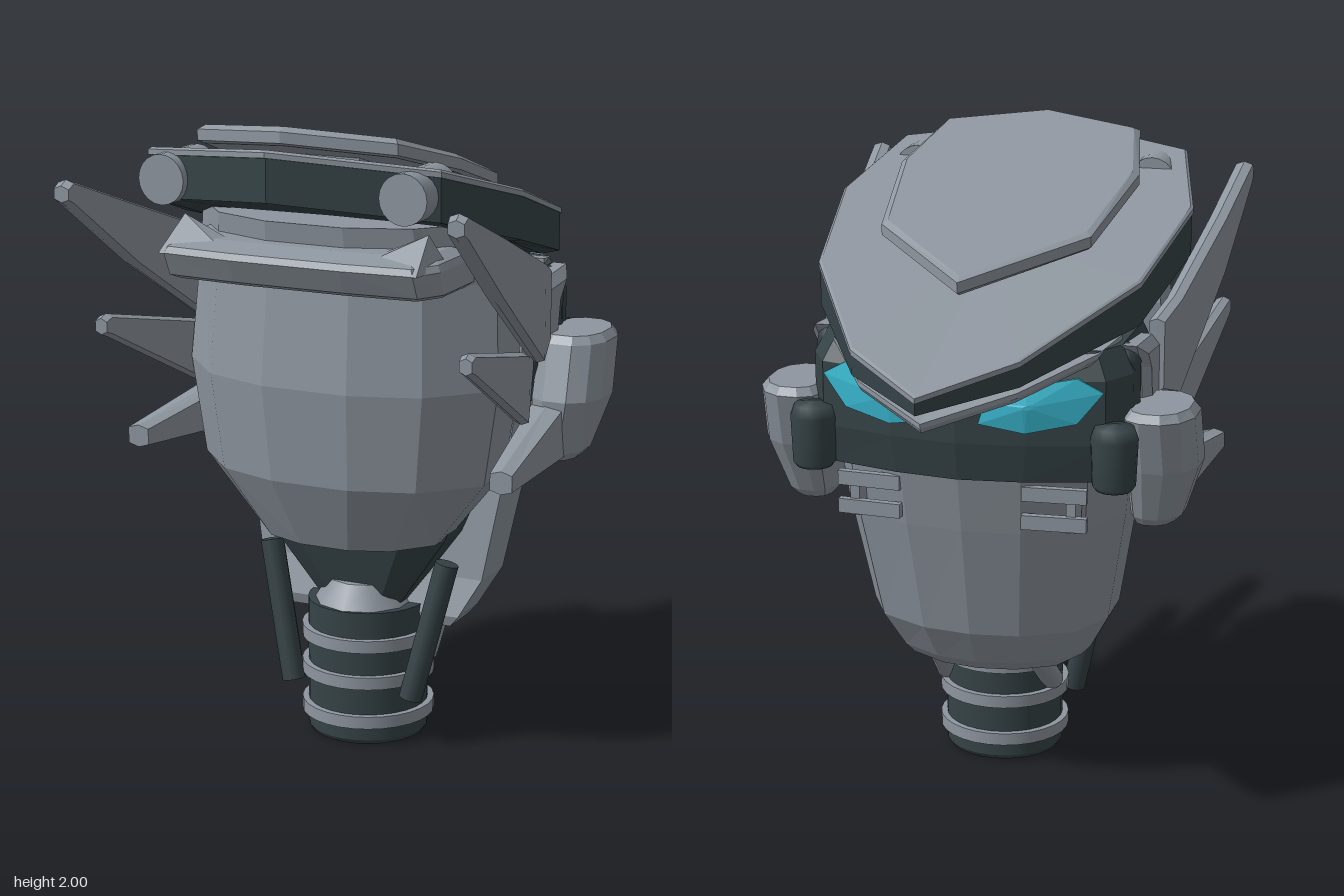
import * as THREE from 'three';

const mat = (name, color) => {
  const m = new THREE.MeshStandardMaterial({ color });
  m.name = name;
  return m;
};

// Closed, flat-faceted solid through a list of equal-length rings of [x, y, z]
function loft(rings) {
  const tris = [], n = rings[0].length;
  for (let r = 0; r + 1 < rings.length; r++)
    for (let i = 0; i < n; i++) {
      const j = (i + 1) % n, a = rings[r], b = rings[r + 1];
      tris.push([a[i], a[j], b[j]], [a[i], b[j], b[i]]);
    }
  const cap = (ring, flip) => {
    const c = [0, 1, 2].map(k => ring.reduce((s, p) => s + p[k], 0) / n);
    ring.forEach((p, i) => {
      const q = ring[(i + 1) % n];
      tris.push(flip ? [c, q, p] : [c, p, q]);
    });
  };
  cap(rings[0], true);
  cap(rings[rings.length - 1], false);
  // turn the solid right side out whichever way the rings run
  const V = p => new THREE.Vector3(...p);
  const volume = tris.reduce((s, [a, b, c]) => s + V(a).dot(V(b).cross(V(c))), 0);
  if (volume < 0) tris.forEach(t => t.reverse());
  const g = new THREE.BufferGeometry();
  g.setAttribute('position', new THREE.Float32BufferAttribute(tris.flat(2), 3));
  g.computeVertexNormals();
  return g;
}

// Mirror half an outline of [x, z] into a loop
const mirrorLoop = half => [...half, ...half.filter(p => p[0] > 0).reverse().map(([x, z]) => [-x, z])];

// Solid from levels [y, halfWidth, zStart, zEnd] over a unit half plan of [x, depth]
const shell = (half, levels) => loft(levels.map(([y, w, z0, z1]) =>
  mirrorLoop(half).map(([x, d]) => [x * w, y, z0 + (z1 - z0) * d])));

// Sloped plate: each layer is [scale, heightFunction]
const plate = (half, zc, layers) => loft(layers.map(([s, h]) =>
  mirrorLoop(half).map(([x, z]) => [x * s, h(z), zc + (z - zc) * s])));

export function createModel() {
  const light = mat('light grey', 0x8e969f);
  const dark = mat('dark grey', 0x364347);
  const cyan = mat('cyan', 0x3cc0d8);
  const model = new THREE.Group();
  const add = (name, geo, m, x = 0, y = 0, z = 0) => {
    const mesh = new THREE.Mesh(geo, m);
    mesh.name = name;
    mesh.position.set(x, y, z);
    model.add(mesh);
    return mesh;
  };
  const rod = (name, a, b, r, m) => {
    const A = new THREE.Vector3(...a), B = new THREE.Vector3(...b), d = B.clone().sub(A);
    const mesh = add(name, new THREE.CylinderGeometry(r, r, d.length(), 12), m);
    mesh.position.copy(A).add(B).multiplyScalar(0.5);
    mesh.quaternion.setFromUnitVectors(new THREE.Vector3(0, 1, 0), d.normalize());
  };

  // Neck with its rings and collar
  add('neck', new THREE.CylinderGeometry(0.19, 0.19, 0.42, 28), dark, 0, 0.225, 0.13);
  add('neckFoot', new THREE.CylinderGeometry(0.19, 0.18, 0.015, 28), dark, 0, 0.0075, 0.13);
  for (const y of [0.08, 0.21, 0.33])
    add('neckRing', new THREE.CylinderGeometry(0.21, 0.21, 0.04, 28), light, 0, y, 0.13);
  add('neckCollar', new THREE.CylinderGeometry(0.11, 0.155, 0.075, 10), light, 0, 0.472, 0.16);

  // Dark inner core
  const corePlan = [[0.6, 0], [1, 0.15], [1, 0.75], [0.6, 1]];
  add('core', shell(corePlan, [[0.43, 0.13, 0.22, 0], [0.68, 0.31, 0.29, -0.1],
    [1.0, 0.44, 0.3, -0.25], [1.3, 0.46, 0.3, -0.3], [1.54, 0.42, 0.3, -0.3]]), dark);

  // Braincase on the +z side, running up into the head plate
  const skullPlan = [[1, 0], [1, 0.4], [0.68, 0.83], [0.27, 1]];
  add('braincase', shell(skullPlan, [[0.68, 0.3, 0.17, 0.44], [0.9, 0.475, 0.16, 0.535],
    [1.2, 0.52, 0.15, 0.565], [1.52, 0.5, 0.12, 0.535], [1.7, 0.47, 0.15, 0.56]]), light);
  // Forehead band with a ledge, and wedges below the lamps
  const bandPlan = [[1, 0], [1, 0.75], [0.9, 0.96], [0.4, 1]];
  add('foreheadBand', shell(bandPlan, [[1.515, 0.43, 0.25, 0.62], [1.53, 0.45, 0.25, 0.655],
    [1.6, 0.45, 0.25, 0.69], [1.62, 0.44, 0.25, 0.68], [1.64, 0.4, 0.25, 0.6]]), light);

  // Face and dark visor on the -z side
  const facePlan = [[1, 0], [1, 0.4], [0.8, 0.76], [0.4, 0.95], [0, 1]];
  add('face', shell(facePlan, [[0.375, 0.29, 0.14, -0.2], [0.41, 0.32, 0.15, -0.235],
    [0.53, 0.385, 0.115, -0.305], [0.9, 0.45, 0.08, -0.395], [1.09, 0.47, 0.06, -0.435]]), light);
  const visorPlan = [[1, 0], [1, 0.62], [0.88, 0.83], [0.42, 0.95], [0, 1]];
  add('visor', shell(visorPlan, [[1.08, 0.475, 0.05, -0.44], [1.2, 0.5, 0.05, -0.46],
    [1.4, 0.5, 0.05, -0.46], [1.48, 0.46, 0.05, -0.42]]), dark);

  // Large sloped head plate, dark rim with a light cover
  const top = z => 1.95 - 0.283 * (0.79 - z) - Math.max(0, -0.62 - z) * 0.06;
  const thick = z => 0.155 - Math.max(0, -0.1 - z) * 0.12;
  const headOutline = [[0, 0.793], [0.475, 0.63], [0.57, 0.26], [0.505, -0.2], [0.254, -0.67], [0, -0.875]];
  add('headPlateRim', plate(headOutline, 0, [[0.89, z => top(z) - thick(z) - 0.008],
    [0.992, z => top(z) - thick(z) + 0.003], [0.992, z => top(z) - 0.02]]), dark);
  add('headPlateCover', plate(headOutline, 0, [[1, z => top(z) - 0.022], [1, z => top(z) - 0.006],
    [0.985, z => top(z)]]), light);

  // Raised crest plate and its mounts
  const crest = z => 2.0 - 0.27 * (0.69 - z);
  const crestOutline = [[0, 0.7], [0.325, 0.6], [0.388, 0.3], [0.33, -0.11], [0, -0.43]];
  add('crestPlate', plate(crestOutline, 0.15, [[0.96, z => crest(z) - 0.055], [1, z => crest(z) - 0.045],
    [1, z => crest(z) - 0.012], [0.95, z => crest(z)]]), light);
  for (const z of [0.45, 0.2, -0.1])
    add('crestMount', new THREE.BoxGeometry(0.3, 0.07, 0.08), light, 0, top(z) + 0.01, z);

  // Light brow plate below the rim
  const browY = z => 1.49 + (z + 0.26) * 0.16 - Math.max(0, -0.62 - z) * 0.17;
  const browOutline = [[0.45, -0.2], [0.41, -0.35], [0.24, -0.64], [0, -0.82]];
  add('browPlate', plate(browOutline, -0.4, [[0.97, z => browY(z) - 0.03], [1, z => browY(z) - 0.015],
    [1, browY]]), light);

  // Eye outline follows the facets of the visor
  const eyeOutline = [[0.07, 1.265], [0.09, 1.33], [0.21, 1.385], [0.36, 1.41],
    [0.436, 1.365], [0.36, 1.27], [0.21, 1.24]];
  const visorZ = x => x < 0.21 ? -0.46 + x * 0.121 : x < 0.44 ? -0.4345 + (x - 0.21) * 0.267
    : -0.373 + (x - 0.44) * 1.78;
  const eyeRing = (s, k, lift) => eyeOutline.map(([x, y]) => {
    const ex = 0.22 + (x - 0.22) * k;
    return [s * ex, 1.325 + (y - 1.325) * k, visorZ(ex) - lift];
  });

  // Fin section [z, yLow, yHigh, x, thickness]
  const finRing = (s, [z, lo, hi, x, t]) => [[-0.5, lo + 0.01], [0, lo], [0.5, lo + 0.01],
    [0.5, hi - 0.01], [0, hi], [-0.5, hi - 0.01]].map(([k, y]) => [s * (x + k * t), y, z]);
  const fins = {
    upperFin: [[0.87, 1.765, 1.815, 0.628, 0.05], [0.845, 1.75, 1.83, 0.626, 0.055],
      [0.53, 1.52, 1.715, 0.6, 0.055], [0.09, 1.24, 1.555, 0.55, 0.05], [-0.03, 1.28, 1.51, 0.52, 0.05]],
    middleFin: [[0.725, 1.345, 1.395, 0.595, 0.04], [0.7, 1.335, 1.405, 0.593, 0.045],
      [0.16, 1.06, 1.285, 0.53, 0.05], [0.08, 1.22, 1.26, 0.51, 0.05]],
    lowerFin: [[0.5, 0.94, 1.01, 0.61, 0.07], [-0.04, 0.91, 1.09, 0.54, 0.11]],
  };

  // Ear pod levels [y, xInner, xOuter, zRear, zFront]
  const podPlan = [[0, 0.25], [0.1, 0.08], [0.3, 0], [0.6, 0], [0.85, 0.12], [1, 0.35], [1, 0.68],
    [0.88, 0.88], [0.65, 1], [0.3, 1], [0.1, 0.92], [0, 0.75]];
  const podRing = (s, [y, x0, x1, z0, z1]) =>
    podPlan.map(([a, b]) => [s * (x0 + (x1 - x0) * a), y, z0 + (z1 - z0) * b]);
  const pod = [[0.905, 0.49, 0.61, -0.21, -0.02], [0.93, 0.48, 0.635, -0.23, -0.01],
    [1.1, 0.47, 0.69, -0.3, 0.01], [1.27, 0.47, 0.685, -0.35, -0.04], [1.295, 0.49, 0.665, -0.33, -0.06]];

  // Canister profile with chamfered ends
  const canister = [[0, 1.07], [0.055, 1.07], [0.066, 1.085], [0.072, 1.23], [0.06, 1.265], [0, 1.275]]
    .map(p => new THREE.Vector2(...p));

  for (const s of [1, -1]) {
    add('eye', loft([eyeRing(s, 1, -0.02), eyeRing(s, 1, 0.006), eyeRing(s, 0.1, 0.02)]), cyan);
    for (const [name, sections] of Object.entries(fins))
      add(name, loft(sections.map(f => finRing(s, f))), light);
    add('earPod', loft(pod.map(p => podRing(s, p))), light);

    // Side panel between the upper fin and the visor
    const panel = [[0.1, 1.24], [0.1, 1.4], [-0.02, 1.46], [-0.25, 1.48], [-0.18, 1.4], [-0.15, 1.24]];
    add('sidePanel', loft([[0.44, 1], [0.505, 1], [0.53, 0.7]].map(([x, k]) =>
      panel.map(([z, y]) => [s * x, 1.36 + (y - 1.36) * k, -0.06 + (z + 0.06) * k]))), light);

    // Wedge on the forehead ledge
    add('foreheadWedge', loft([[[0.2, 1.6, 0.55], [0.2, 1.6, 0.64], [0.21, 1.615, 0.55]],
      [[0.44, 1.6, 0.5], [0.42, 1.6, 0.68], [0.4, 1.7, 0.55]]]
      .map(ring => ring.map(([x, y, z]) => [s * x, y, z]))), light);

    // Dark cheek canister and ear knob
    add('cheekCanister', new THREE.LatheGeometry(canister, 18), dark, s * 0.47, 0, -0.38);
    add('earKnob', new THREE.CapsuleGeometry(0.055, 0.13, 4, 14), dark, s * 0.455, 1.36, -0.205);

    // Cheek bars standing off the face
    for (const y of [1.04, 0.95])
      add('cheekBar', new THREE.BoxGeometry(0.2, 0.045, 0.025), light, s * 0.29, y, -0.39)
        .rotation.y = -s * 0.06;
    add('cheekBarLink', new THREE.BoxGeometry(0.03, 0.1, 0.08), light, s * 0.34, 0.97, -0.345);

    // Round lamps through the rim
    add('lamp', new THREE.CylinderGeometry(0.075, 0.075, 0.22, 20), light, s * 0.39, 1.825, 0.595)
      .rotation.x = Math.PI / 2;

    // Neck pistons and chin struts
    rod('neckPiston', [s * 0.305, 0.6, 0.2], [s * 0.205, 0.16, 0.25], 0.037, dark);
    rod('chinStrut', [s * 0.16, 0.42, -0.12], [s * 0.175, 0.25, 0.07], 0.037, light);
  }
  return model;
}
